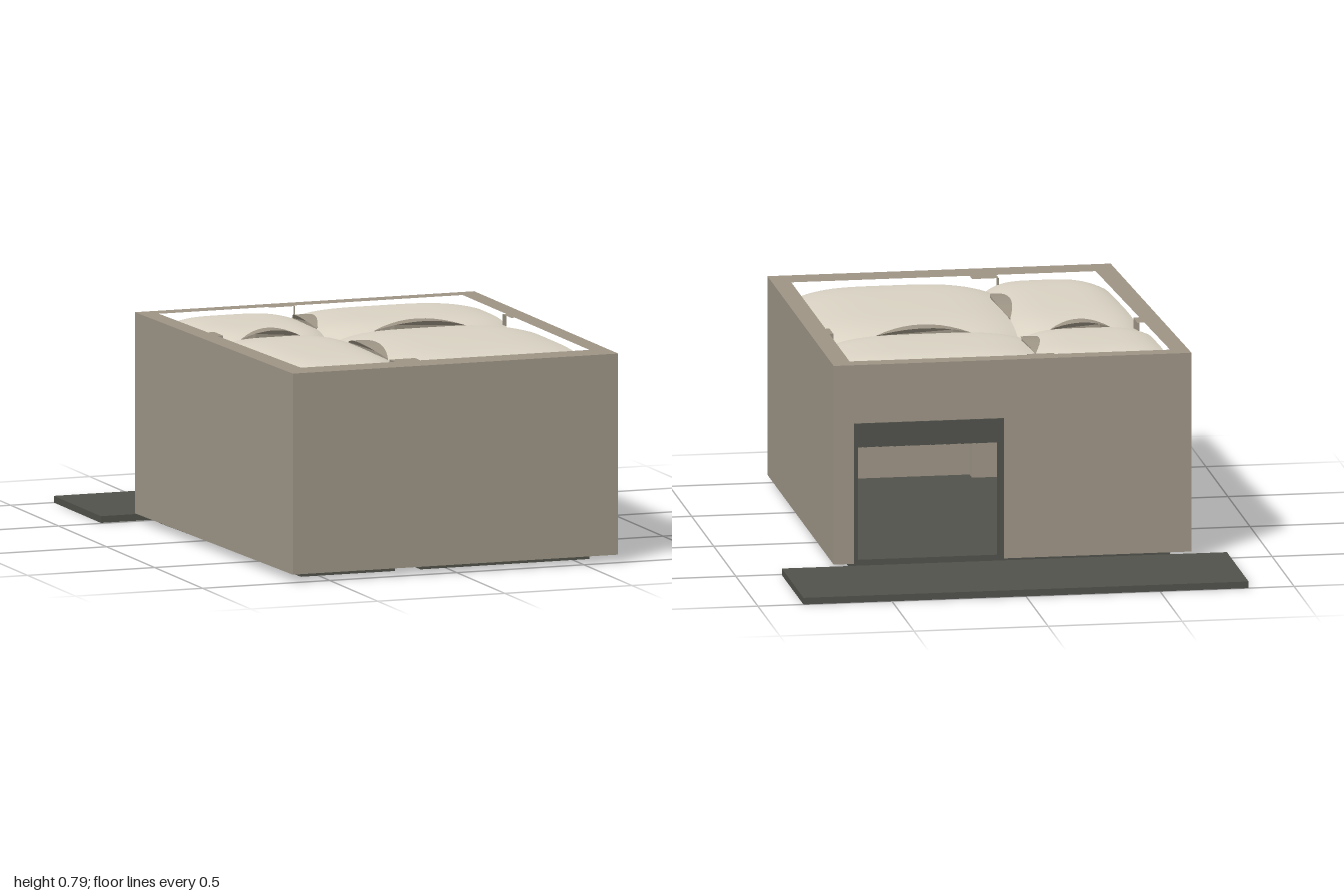
import * as THREE from 'three';

const mat = (name, color) => {
  const m = new THREE.MeshStandardMaterial({ color });
  m.name = name;
  return m;
};

// Column line and cross line where the four vaulted bays meet
const CX = -0.15, CZ = 0.065;
const BACK = -0.435, FRONT = 0.885, RIGHT = 0.565;
const leftAt = (z) => -0.63 + 0.06 * (z - BACK) / (FRONT - BACK);

export function createModel() {
  const model = new THREE.Group();
  model.name = 'vaultedHall';
  const wall = mat('wallStone', 0x9d9485);
  const plaster = mat('vaultPlaster', 0xd9d2c3);
  plaster.side = THREE.DoubleSide;
  const dark = mat('darkSlab', 0x51524b);

  const add = (name, geo, material) => {
    const m = new THREE.Mesh(geo, material);
    m.name = name;
    model.add(m);
    return m;
  };
  const box = (name, x0, x1, y0, y1, z0, z1, material) =>
    add(name, new THREE.BoxGeometry(x1 - x0, y1 - y0, z1 - z0)
      .translate((x0 + x1) / 2, (y0 + y1) / 2, (z0 + z1) / 2), material);
  // Plan outline in [x, z], raised from y0 to y1
  const toPoints = (pts) => pts.map(([x, z]) => new THREE.Vector2(x, -z));
  const prism = (name, pts, hole, y0, y1, material) => {
    const shape = new THREE.Shape(toPoints(pts));
    if (hole) shape.holes.push(new THREE.Path(toPoints(hole)));
    const geo = new THREE.ExtrudeGeometry(shape, { depth: y1 - y0, bevelEnabled: false });
    add(name, geo.rotateX(-Math.PI / 2).translate(0, y0, 0), material);
  };

  // Room outline with its wall piers, starting at the back right corner
  const inner = [
    [RIGHT, BACK], [RIGHT, 0.02], [0.55, 0.02], [0.55, 0.11], [RIGHT, 0.11],
    [RIGHT, FRONT], [-0.1, FRONT], [-0.1, 0.83], [-0.2, 0.83], [-0.2, FRONT],
    [leftAt(FRONT), FRONT], [leftAt(0.11), 0.11], [-0.583, 0.11], [-0.583, 0.02],
    [leftAt(0.02), 0.02], [leftAt(BACK), BACK],
    [-0.2, BACK], [-0.2, -0.42], [-0.1, -0.42], [-0.1, BACK],
  ];
  const outer = [[0.635, -0.5], [0.635, 1], [-0.645, 1], [-0.7, -0.5]];

  // Walls: lower part open at the doorway, closed ring above it
  const doorL = 0, doorR = 0.56, doorTop = 0.56;
  prism('lowerWalls', [
    [doorR, -0.5], ...outer, [doorL, -0.5], [doorL, BACK],
    ...inner.slice().reverse(), [doorR, BACK],
  ], null, 0.03, doorTop, wall);
  prism('upperWalls', outer, inner, doorTop, 0.78, wall);

  // Floor and the separate slab behind the building
  prism('floor', inner, null, 0, 0.03, dark);
  box('rearPlatform', -0.83, 0.83, 0, 0.025, -1, -0.51, dark);

  // Door frame with a ribbed header
  box('doorHeader', doorL, doorR, 0.47, doorTop, -0.503, BACK, dark);
  for (const x of [doorL, doorR - 0.015])
    box('doorJamb', x, x + 0.015, 0.03, 0.47, -0.505, BACK, dark);
  for (let i = 0; i < 20; i++) {
    const x = doorL + i * 0.028 + 0.007;
    box('headerRib', x, x + 0.014, 0.47, doorTop, -0.507, -0.502, dark);
  }

  // Central column
  box('centralColumn', CX - 0.045, CX + 0.045, 0.03, 0.7, CZ - 0.045, CZ + 0.045, wall);

  // Vaults: low at the corners, arched along each edge, fullest in the middle
  const rise = (t) => 1 - t ** 4;
  const vaultHeight = (u, v) =>
    0.71 + 0.045 * (rise(u) + rise(v)) - 0.02 * rise(u) * rise(v);
  const vault = (xa, xb, za, zb) => {
    const geo = new THREE.PlaneGeometry(2, 2, 28, 28).rotateX(-Math.PI / 2);
    const p = geo.attributes.position;
    for (let i = 0; i < p.count; i++) {
      const u = p.getX(i), v = p.getZ(i);
      const z = THREE.MathUtils.lerp(za, zb, (v + 1) / 2);
      const x = THREE.MathUtils.lerp(xa(z), xb(z), (u + 1) / 2);
      p.setXYZ(i, x, vaultHeight(u, v), z);
    }
    geo.computeVertexNormals();
    add('vault', geo, plaster);
  };
  for (const [za, zb] of [[BACK, CZ], [CZ, FRONT]]) {
    vault(leftAt, () => CX, za, zb);
    vault(() => CX, () => RIGHT, za, zb);
  }

  // Arches between the bays: a rib below, and a tapered crown showing above
  const band = (half, reach, top, bottom, width, taper) => {
    const n = 10, pts = [];
    for (let i = 0; i <= n; i++) {
      const t = -1 + 2 * i / n;
      pts.push(new THREE.Vector2(t * reach * half, top(t * reach)));
    }
    for (let i = n; i >= 0; i--) {
      const t = -1 + 2 * i / n;
      pts.push(new THREE.Vector2(t * reach * half, bottom(t * reach)));
    }
    const geo = new THREE.ExtrudeGeometry(new THREE.Shape(pts), { depth: width, bevelEnabled: false })
      .translate(0, 0, -width / 2);
    if (taper) {
      const p = geo.attributes.position;
      for (let i = 0; i < p.count; i++) {
        const t = p.getX(i) / (half * reach);
        p.setZ(i, p.getZ(i) * Math.max(0.02, 1 - t * t));
      }
      geo.computeVertexNormals();
    }
    return geo;
  };
  const edge = (t) => vaultHeight(1, t);
  const arch = (a, b, alongZ) => {
    const half = (b - a) / 2, mid = (a + b) / 2;
    const rib = band(half, 1, (t) => edge(t) - 0.008, (t) => 0.67 - 0.1 * t * t, 0.09, false);
    const crown = band(half, 0.5, (t) => 0.786 - 0.12 * t * t, (t) => edge(t) - 0.03, 0.066, true);
    for (const [name, geo] of [['archRib', rib], ['archCrown', crown]]) {
      if (alongZ) geo.rotateY(Math.PI / 2).translate(CX, 0, mid);
      else geo.translate(mid, 0, CZ);
      add(name, geo, wall);
    }
  };
  arch(leftAt(CZ), CX, false);
  arch(CX, RIGHT, false);
  arch(BACK, CZ, true);
  arch(CZ, FRONT, true);

  return model;
}
